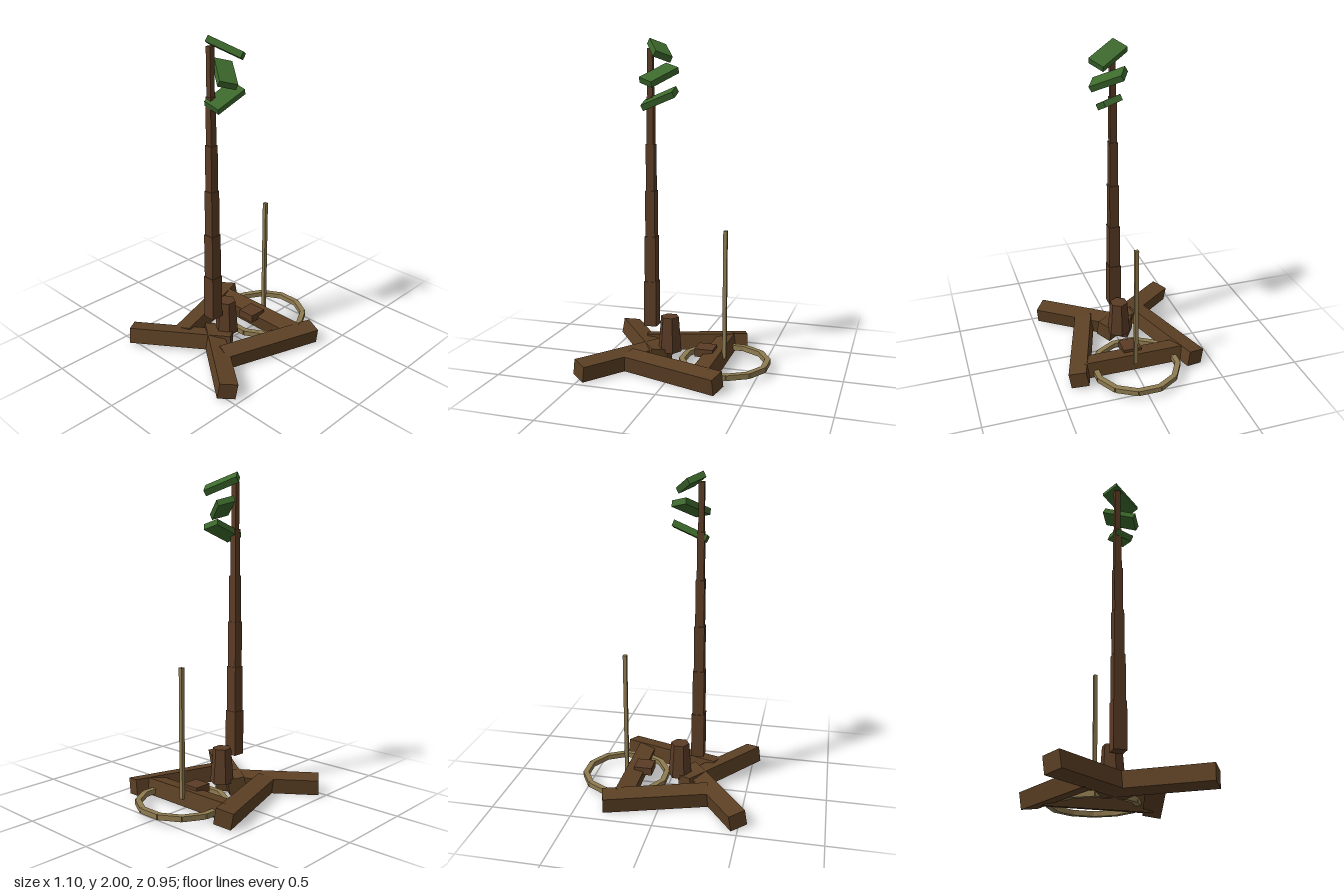
import * as THREE from 'three';

const flat = (name, color) => {
  const m = new THREE.MeshStandardMaterial({ color });
  m.name = name;
  return m;
};

export function createModel() {
  const root = new THREE.Group();
  root.name = 'tripodTrap';
  const log = flat('logBrown', 0x5c4024);
  const bark = flat('barkBrown', 0x5a3c25);
  const rope = flat('ropeTan', 0x8f7b50);
  const leaf = flat('leafGreen', 0x3d6a2d);

  const box = (name, mat, size, pos, parent = root) => {
    const m = new THREE.Mesh(new THREE.BoxGeometry(...size), mat);
    m.name = name;
    m.position.set(...pos);
    parent.add(m);
    return m;
  };
  const deg = THREE.MathUtils.degToRad;

  // Logs on the ground, each rolled slightly about its own length
  const beam = (name, x, z, angle, roll) => {
    const b = box(name, log, [0.65, 0.1, 0.11], [x, 0.06, z]);
    b.rotation.set(deg(roll), deg(angle), 0, 'YXZ');
  };
  for (const s of [1, -1]) {
    const side = s > 0 ? 'Right' : 'Left';
    beam('longLog' + side, 0.024, -0.281 * s, 18 * s, -10 * s);
    beam('rearLog' + side, -0.309, -0.174 * s, -54 * s, -10 * s);
  }
  beam('crossLog', 0.219, 0, 90, -10);

  // Stepped pole
  const pole = new THREE.Group();
  pole.name = 'pole';
  root.add(pole);
  const step = 0.2835;
  [0.079, 0.07, 0.061, 0.052, 0.042, 0.033].forEach((w, i) => {
    box('poleSection', bark, [w, step, w], [-0.19, 0.238 + step * (i + 0.5), 0], pole);
  });

  // Six-sided stump
  const stump = new THREE.Mesh(new THREE.CylinderGeometry(0.058, 0.075, 0.22, 6), bark);
  stump.geometry = stump.geometry.toNonIndexed();
  stump.geometry.computeVertexNormals();
  stump.name = 'stump';
  stump.rotation.y = Math.PI / 6;
  stump.position.set(-0.073, 0.192, 0);
  root.add(stump);

  // Trigger block and upright stick
  box('triggerBlock', bark, [0.115, 0.05, 0.115], [0.16, 0.104, 0]);
  box('stick', rope, [0.023, 0.8, 0.023], [0.278, 0.465, 0]);

  // Twelve-piece loop lying on the ground
  const loop = new THREE.Group();
  loop.name = 'ropeLoop';
  loop.position.set(0.28, 0.05, 0);
  root.add(loop);
  for (let i = 0; i < 12; i++) {
    const a = (i * Math.PI) / 6;
    const p = box('loopPiece', rope, [0.034, 0.032, 0.14],
      [Math.cos(a) * 0.255, 0, -Math.sin(a) * 0.255], loop);
    p.rotation.y = a;
  }

  // Leaf slabs, placed by centre, length direction and width direction
  const slabs = [
    [[-0.12, 1.646, 0.042], [0.196, 0.079, 0.012], [0.008, -0.032, 0.105]],
    [[-0.122, 1.783, 0.045], [-0.117, -0.085, 0.163], [0.089, -0.032, 0.06]],
    [[-0.117, 1.926, 0.046], [0.095, -0.077, 0.169], [0.074, -0.031, -0.064]],
  ];
  for (const [pos, u, v] of slabs) {
    const m = box('leafSlab', leaf, [0.215, 0.038, 0.109], pos);
    const x = new THREE.Vector3(...u).normalize();
    const y = new THREE.Vector3(...v).cross(x).normalize();
    const z = new THREE.Vector3().crossVectors(x, y);
    m.quaternion.setFromRotationMatrix(new THREE.Matrix4().makeBasis(x, y, z));
  }
  return root;
}
